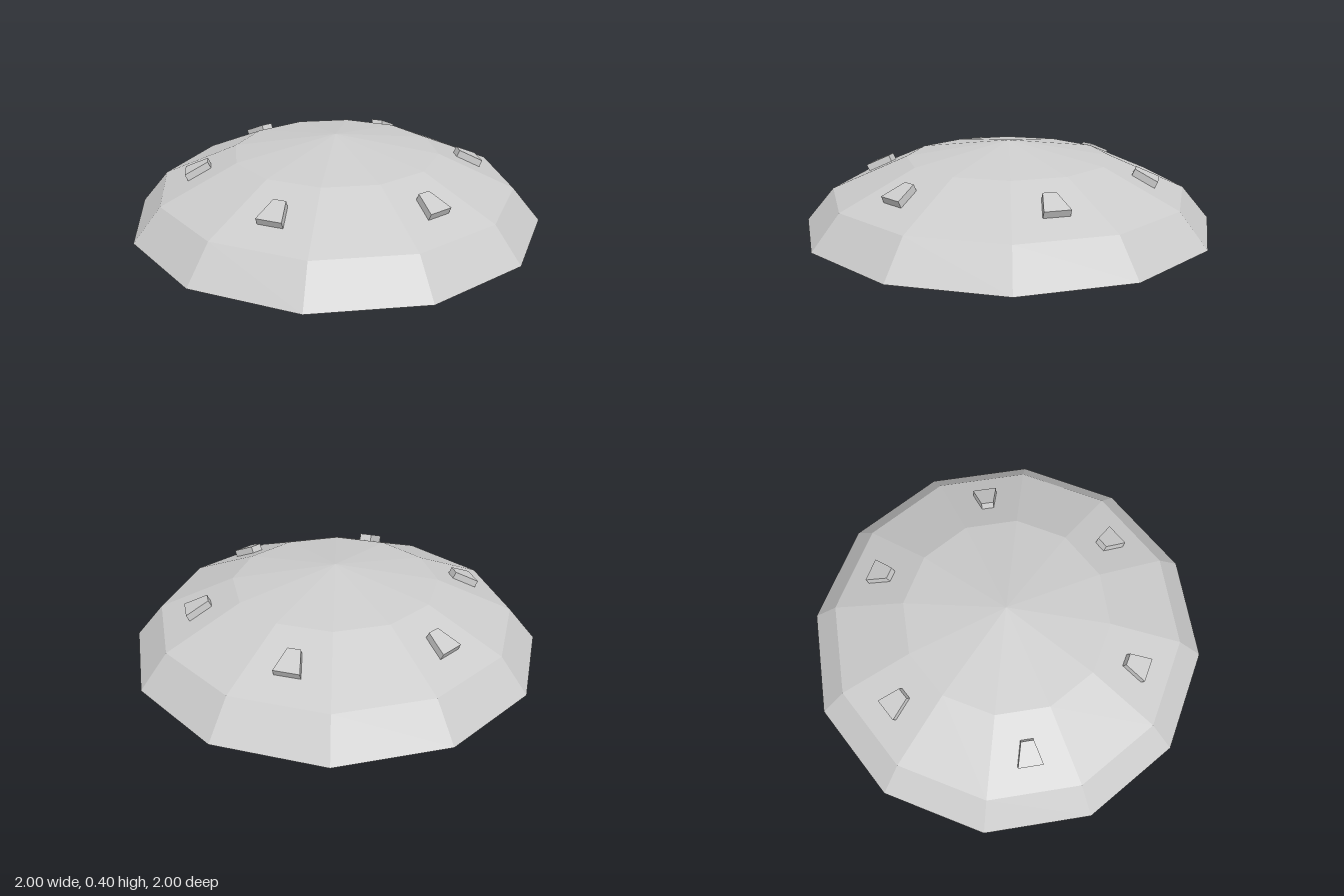
import * as THREE from 'three';

const SIDES = 12;

export function createModel() {
  const model = new THREE.Group();
  model.name = 'shell';
  const material = new THREE.MeshStandardMaterial({ color: 0xcccccc, flatShading: true });

  // Faceted dome with a closed flat underside
  const profile = [[0, 0], [1, 0], [0.866, 0.16], [0.5, 0.32], [0, 0.4]]
    .map(([r, y]) => new THREE.Vector2(r, y));
  const dome = new THREE.Mesh(new THREE.LatheGeometry(profile, SIDES), material);
  dome.name = 'dome';
  model.add(dome);

  // Tapered stud: narrow towards the top of the dome
  const studGeometry = new THREE.BoxGeometry(0.12, 0.066, 0.12);
  const pos = studGeometry.attributes.position;
  for (let i = 0; i < pos.count; i++) {
    if (pos.getZ(i) < 0) pos.setX(i, pos.getX(i) * 0.5);
  }
  studGeometry.computeVertexNormals();

  // Slope of the middle band, measured across the centre of a facet
  const tilt = Math.atan2(0.16, 0.366 * Math.cos(Math.PI / SIDES));

  // A stud on the centre of every second facet of the middle band
  const studs = new THREE.Group();
  studs.name = 'studs';
  for (let i = 0; i < SIDES; i += 2) {
    const arm = new THREE.Group();
    arm.name = 'studMount';
    arm.rotation.y = (i + 0.5) * (2 * Math.PI / SIDES);
    const stud = new THREE.Mesh(studGeometry, material);
    stud.name = 'stud';
    stud.position.set(0, 0.241, 0.66);
    stud.rotation.x = tilt;
    arm.add(stud);
    studs.add(arm);
  }
  model.add(studs);

  return model;
}
